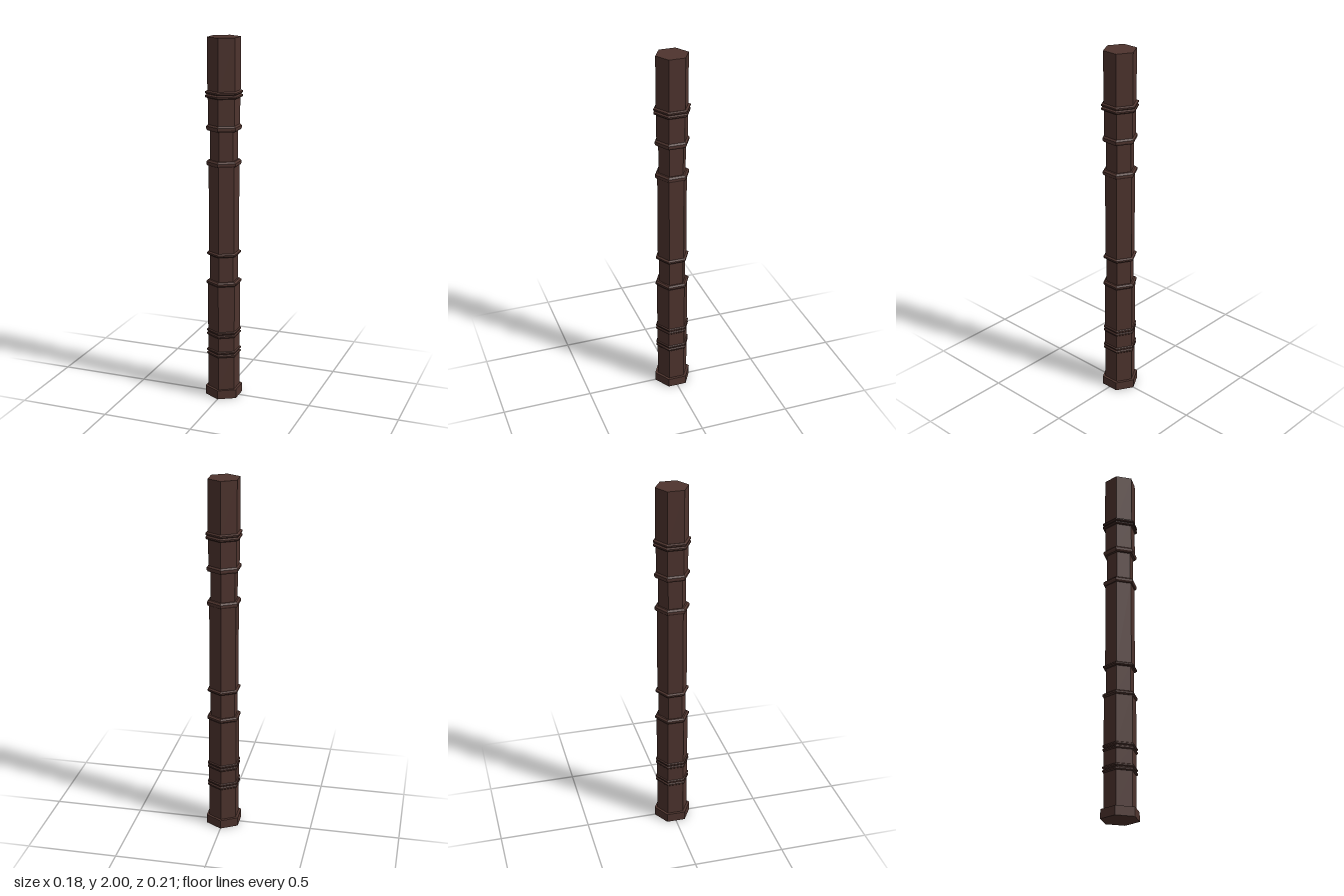
import * as THREE from 'three';

// Hexagonal post with stepped shaft sections and thin moulded rings
export function createModel() {
  const model = new THREE.Group();
  model.name = 'hexagonalPost';
  const brown = new THREE.MeshStandardMaterial({ color: 0x4e342e, flatShading: true });
  brown.name = 'dark brown wood';

  // Sizes are given as flat-to-centre distance, so convert to the corner radius
  const corner = (flat) => flat / Math.cos(Math.PI / 6);

  const add = (geometry, name, y) => {
    const mesh = new THREE.Mesh(geometry, brown);
    mesh.name = name;
    mesh.position.y = y;
    model.add(mesh);
  };

  const prism = (name, flat, y0, y1) =>
    add(new THREE.CylinderGeometry(corner(flat), corner(flat), y1 - y0, 6), name, (y0 + y1) / 2);

  // Ring: bevelled band whose ends sink into the shaft
  const ring = (name, flat, y, height) => {
    const r = corner(flat), h = height / 2;
    const profile = [[0.07, -h], [r - 0.006, -h], [r, -h * 0.4], [r, h * 0.4], [r - 0.01, h], [0.07, h]];
    add(new THREE.LatheGeometry(profile.map(([a, b]) => new THREE.Vector2(a, b)), 6), name, y);
  };

  // Foot
  prism('base', 0.09, 0, 0.05);

  // Shaft sections, bottom to top
  [
    ['lowerShaft', 0.076, 0.05, 0.26],
    ['lowerCollar', 0.077, 0.26, 0.375],
    ['lowerMiddleShaft', 0.077, 0.375, 0.67],
    ['lowerNeck', 0.067, 0.67, 0.83],
    ['middleShaft', 0.072, 0.83, 1.335],
    ['upperNeck', 0.066, 1.335, 1.525],
    ['upperMiddleShaft', 0.075, 1.525, 1.705],
    ['upperShaft', 0.077, 1.705, 2],
  ].forEach((s) => prism(...s));

  // Single rings
  [[0.667, 0.084, 0.024], [0.832, 0.082, 0.02], [1.335, 0.083, 0.03], [1.526, 0.083, 0.032]]
    .forEach(([y, flat, h]) => ring('ring', flat, y, h));

  // Double rings
  [[0.26, 0.083], [0.375, 0.083], [1.703, 0.088]].forEach(([y, flat]) => {
    ring('doubleRingLower', flat, y - 0.01, 0.018);
    ring('doubleRingUpper', flat, y + 0.01, 0.018);
  });

  return model;
}
